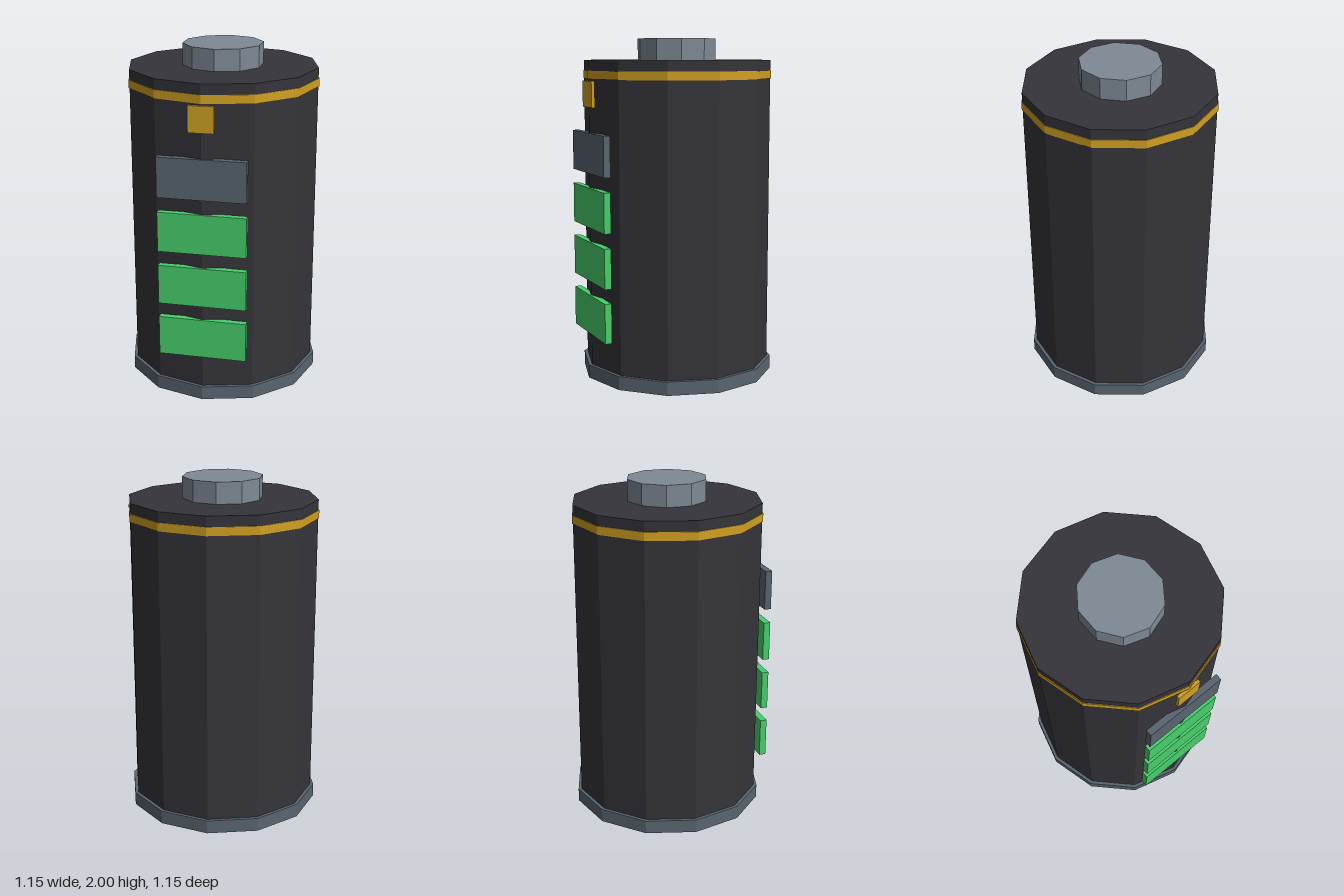
import * as THREE from 'three';

const paint = (name, color) => {
  const m = new THREE.MeshStandardMaterial({ color });
  m.name = name;
  m.flatShading = true;
  return m;
};

export function createModel() {
  const casingDark = paint('casing charcoal', 0x35343a);
  const steel = paint('slate grey', 0x5a6570);
  const terminalGrey = paint('terminal grey', 0x7f8a95);
  const gold = paint('gold', 0xd0a022);
  const green = paint('charge green', 0x48cf6c);

  const model = new THREE.Group();
  model.name = 'battery';

  const add = (name, geometry, material, y, z = 0) => {
    const mesh = new THREE.Mesh(geometry, material);
    mesh.name = name;
    mesh.position.set(0, y, z);
    model.add(mesh);
  };
  // Faceted cylinder spanning y0 to y1, with a corner facing the front
  const drum = (name, radius, y0, y1, sides, material) =>
    add(name, new THREE.CylinderGeometry(radius, radius, y1 - y0, sides), material, (y0 + y1) / 2);

  // Casing, base rim, band and terminal
  drum('casing', 0.555, 0.02, 1.875, 12, casingDark);
  drum('baseRim', 0.575, 0, 0.08, 12, steel);
  drum('goldBand', 0.56, 1.768, 1.816, 12, gold);
  drum('terminal', 0.235, 1.87, 2, 10, terminalGrey);

  // Charge bars: three lit, the top one unlit
  for (let i = 0; i < 4; i++) {
    add(i < 3 ? 'litChargeBar' : 'unlitChargeBar', new THREE.BoxGeometry(0.508, 0.234, 0.04),
      i < 3 ? green : steel, 0.387 + i * 0.319, 0.545);
  }

  // Small indicator tab below the band
  add('indicatorTab', new THREE.BoxGeometry(0.146, 0.15, 0.02), gold, 1.683, 0.555);

  return model;
}
